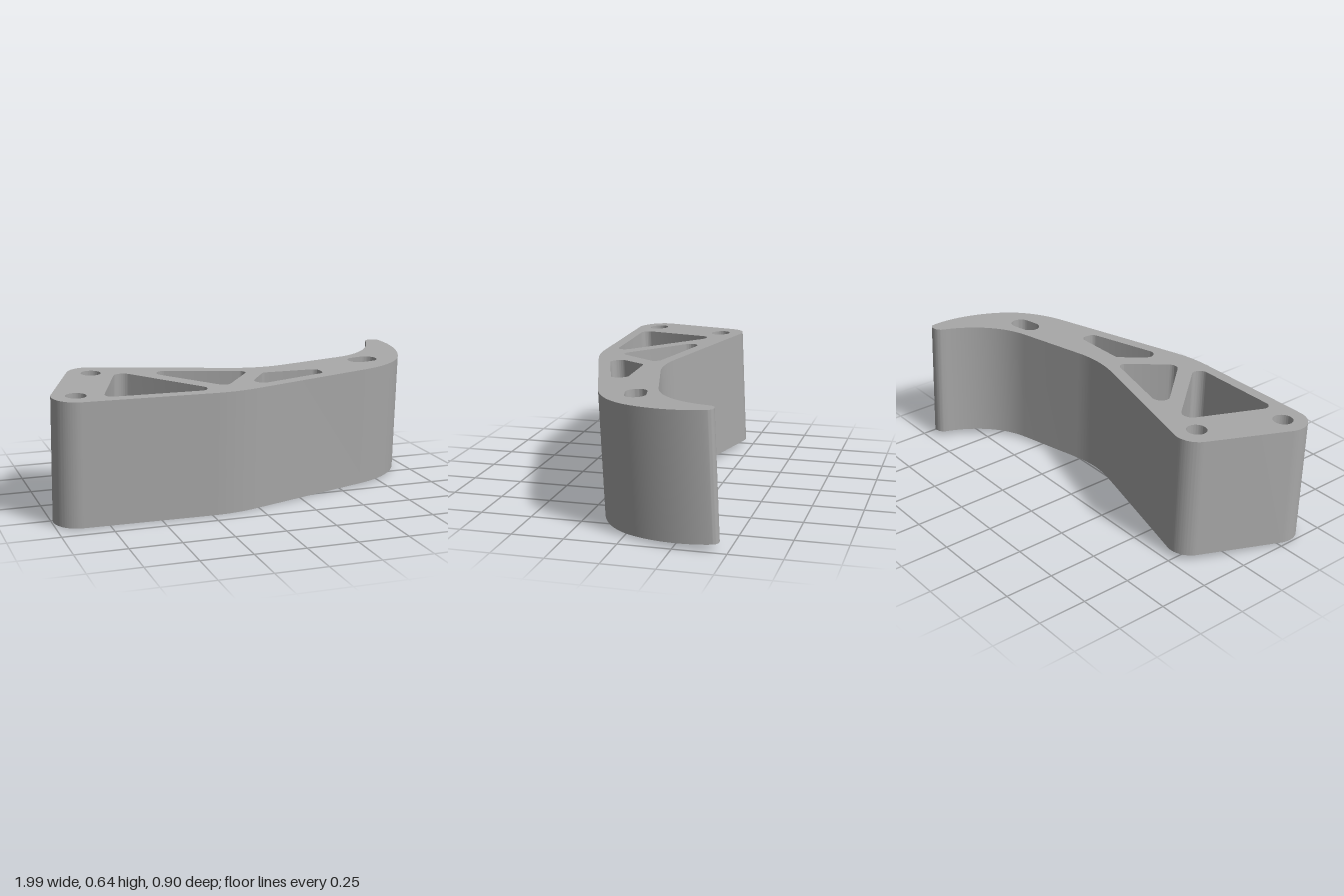
import * as THREE from 'three';
import { toCreasedNormals } from 'three/addons/utils/BufferGeometryUtils.js';

const HEIGHT = 0.605;

// Adds a round of radius r at corner [x, y, r], lying between the points a and b
function fillet(path, a, [x, y, r], b) {
  const p = new THREE.Vector2(x, y);
  const u = new THREE.Vector2(a[0], a[1]).sub(p).normalize();
  const v = new THREE.Vector2(b[0], b[1]).sub(p).normalize();
  const half = Math.acos(u.dot(v)) / 2;
  const t = r / Math.tan(half);
  const c = u.clone().add(v).normalize().multiplyScalar(r / Math.sin(half)).add(p);
  const angle = (d) => {
    const q = d.clone().multiplyScalar(t).add(p).sub(c);
    return Math.atan2(q.y, q.x);
  };
  path.absarc(c.x, c.y, r, angle(u), angle(v), u.cross(v) > 0);
}

// Closed pocket with rounded corners
function roundedPocket(corners) {
  const path = new THREE.Path();
  const n = corners.length;
  corners.forEach((c, i) => fillet(path, corners[(i + n - 1) % n], c, corners[(i + 1) % n]));
  path.closePath();
  return path;
}

// Round hole, or a slot when the two end centres differ
function slot(x1, y1, x2, y2, r) {
  const path = new THREE.Path();
  const a = Math.atan2(y2 - y1, x2 - x1);
  path.absarc(x2, y2, r, a - Math.PI / 2, a + Math.PI / 2, false);
  path.absarc(x1, y1, r, a + Math.PI / 2, a + Math.PI * 1.5, false);
  path.closePath();
  return path;
}

function bracketShape() {
  const s = new THREE.Shape();
  // Curved hook: outer sweep, rounded tip, inner sweep
  s.moveTo(0.628, -0.187);
  s.bezierCurveTo(0.735, -0.155, 0.826, -0.096, 0.885, -0.016);
  s.bezierCurveTo(0.955, 0.08, 1.013, 0.262, 0.981, 0.417);
  s.bezierCurveTo(0.973, 0.449, 0.917, 0.449, 0.901, 0.412);
  s.bezierCurveTo(0.853, 0.251, 0.746, 0.134, 0.602, 0.096);
  // Straight body with rounded corners
  const body = [
    [0.602, 0.096], [0.118, -0.026, 0.53], [-0.791, 0.222, 0.112],
    [-1.053, -0.433, 0.118], [-0.131, -0.433, 0.7], [0.628, -0.187],
  ];
  for (let i = 1; i < body.length - 1; i++) fillet(s, body[i - 1], body[i], body[i + 1]);
  s.closePath();

  s.holes.push(
    // Weight-saving pockets
    roundedPocket([[-0.596, 0.078, 0.048], [-0.203, -0.374, 0.042], [-0.767, -0.374, 0.037]]),
    roundedPocket([[-0.497, 0.072, 0.045], [0.045, -0.07, 0.032], [-0.147, -0.319, 0.04]]),
    roundedPocket([[0.104, -0.12, 0.03], [0.398, -0.118, 0.035], [0.398, -0.198, 0.035], [-0.061, -0.348, 0.043]]),
    // Bolt holes and adjusting slot
    slot(-0.88, -0.316, -0.88, -0.316, 0.049),
    slot(-0.719, 0.08, -0.719, 0.08, 0.049),
    slot(0.674, 0.011, 0.733, 0.024, 0.051),
  );
  return s;
}

export function createModel() {
  const group = new THREE.Group();
  group.name = 'bracket';
  const metal = new THREE.MeshStandardMaterial({ color: 0xa8a8a8 });
  metal.name = 'grey metal';

  const geo = new THREE.ExtrudeGeometry(bracketShape(), {
    depth: HEIGHT, bevelEnabled: false, curveSegments: 20,
  });
  geo.translate(0, 0, -HEIGHT / 2);
  geo.rotateX(-Math.PI / 2);

  const body = new THREE.Mesh(toCreasedNormals(geo, 0.5), metal);
  body.name = 'bracketBody';
  // Slight forward lean and roll
  body.rotation.set(0.044, 0, -0.006);
  body.position.y = 0.322;
  group.add(body);
  return group;
}
